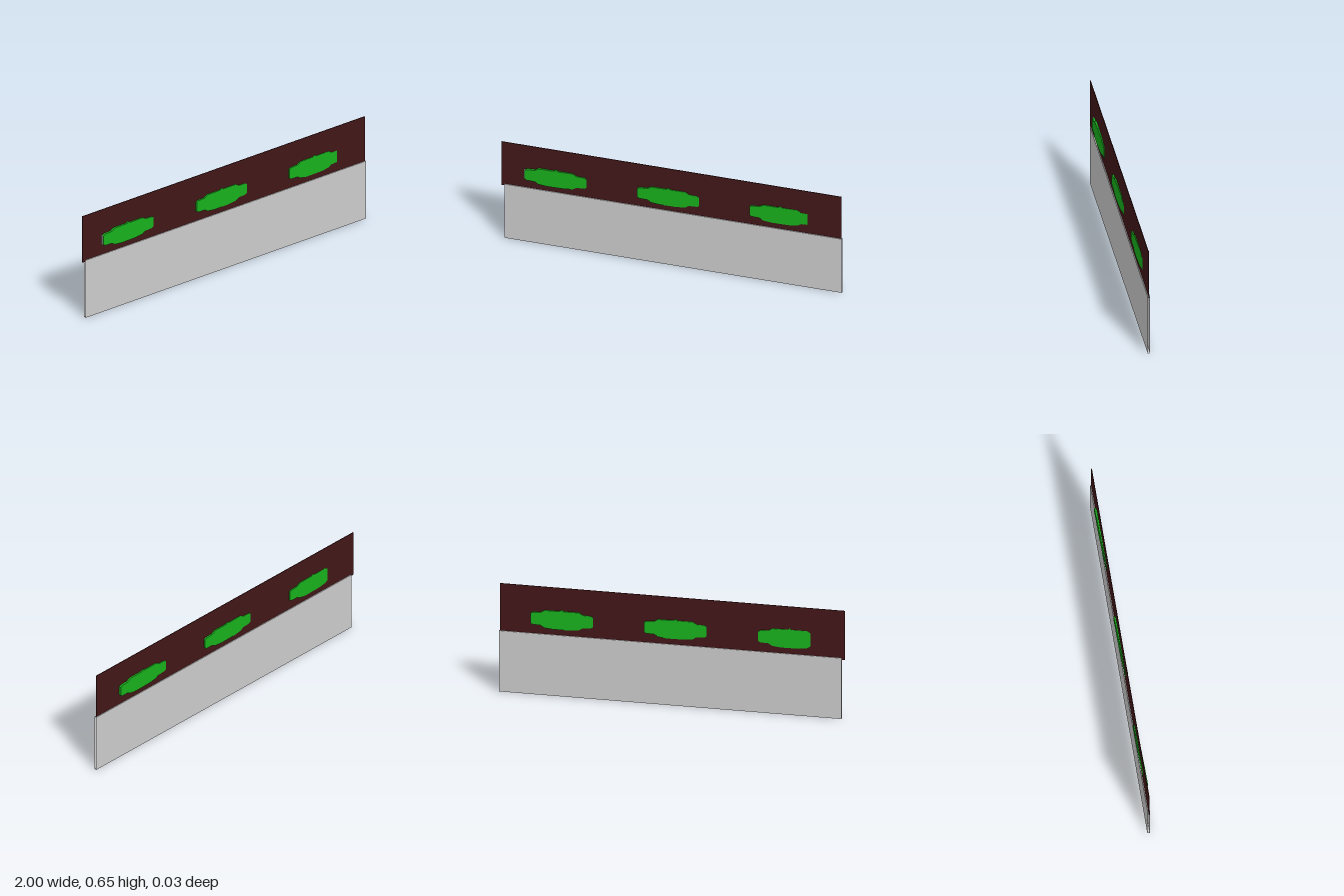
import * as THREE from 'three';

const material = (color) => new THREE.MeshStandardMaterial({ color, side: THREE.DoubleSide });

function addMesh(parent, name, geometry, mat, x = 0, y = 0, z = 0) {
  const mesh = new THREE.Mesh(geometry, mat);
  mesh.name = name;
  mesh.position.set(x, y, z);
  parent.add(mesh);
  return mesh;
}

// Stepped plaque outline: half of the top and bottom edges, mirrored in x
function plaqueShape() {
  const top = [[0, 0.062], [0.012, 0.054], [0.1, 0.054], [0.122, 0.04], [0.168, 0.038], [0.18, 0.03]];
  const bottom = [[0.18, -0.026], [0.168, -0.034], [0.122, -0.036], [0.1, -0.05], [0.05, -0.056]];
  const right = [...top, ...bottom];
  const left = right.slice(1).reverse().map(([x, y]) => [-x, y]);
  return new THREE.Shape([...right, ...left].map(([x, y]) => new THREE.Vector2(x, y)));
}

export function createModel() {
  const model = new THREE.Group();
  model.name = 'signBoard';
  const grey = material(0xcccccc);
  const dark = material(0x421618);
  const green = material(0x18b01c);

  // Thin dark upper board
  addMesh(model, 'upperBoard', new THREE.BoxGeometry(1.995, 0.295, 0.004), dark, -0.0025, 0.5025, 0);

  // Lower panel: two faces with narrow top and bottom strips, open at the ends
  const width = 1.98, height = 0.366, half = 0.007;
  const panel = new THREE.Group();
  panel.name = 'lowerPanel';
  panel.position.set(0.01, height / 2, 0);
  model.add(panel);
  for (const side of [1, -1]) {
    const face = addMesh(panel, side > 0 ? 'panelFront' : 'panelBack',
      new THREE.PlaneGeometry(width, height), grey, 0, 0, side * half);
    if (side < 0) face.rotation.y = Math.PI;
    const strip = addMesh(panel, side > 0 ? 'panelTop' : 'panelBottom',
      new THREE.PlaneGeometry(width, half * 2), grey, 0, side * height / 2, 0);
    strip.rotation.x = -side * Math.PI / 2;
  }

  // Three green plaques, each turned slightly through the board
  const plaque = new THREE.ExtrudeGeometry(plaqueShape(), { depth: 0.016, bevelEnabled: false });
  plaque.translate(0, 0, -0.008);
  [[-0.68, 0.003], [-0.02, 0], [0.637, -0.002]].forEach(([x, z], i) => {
    addMesh(model, `plaque${i + 1}`, plaque, green, x, 0.457, z).rotation.y = 0.025;
  });

  // Small pale end strip beside the first plaque
  addMesh(model, 'endStrip', new THREE.BoxGeometry(0.006, 0.058, 0.008), material(0xffffff), -0.863, 0.459, 0.007);

  return model;
}
